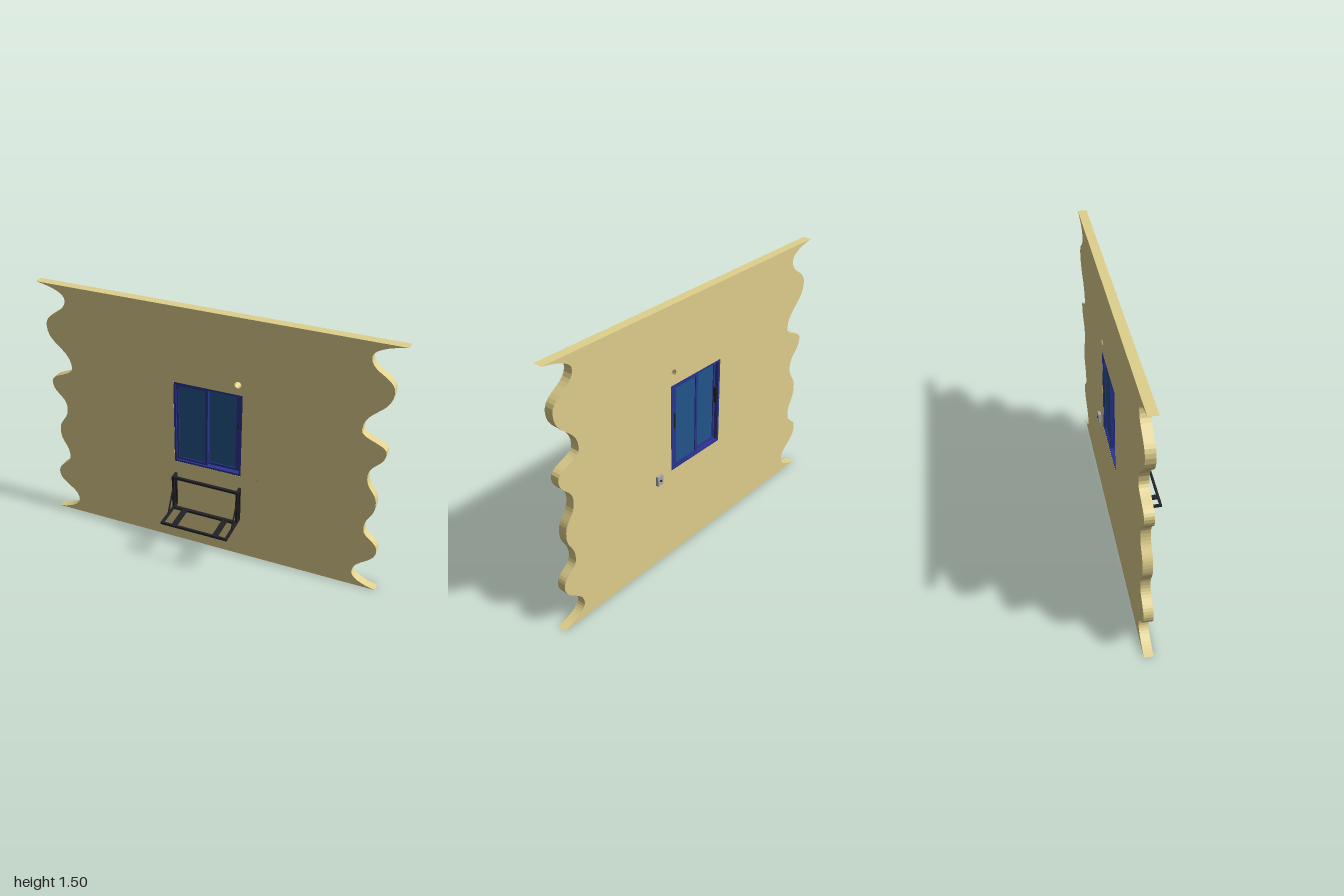
import * as THREE from 'three';

const mat = (color) => new THREE.MeshStandardMaterial({ color });
const wallMat = mat(0xe0d08c), blueMat = mat(0x2b3590), glassMat = mat(0x22558c);
const blackMat = mat(0x222226), greyMat = mat(0xaaaaaa);
const BACK = -0.12, FRONT = -0.07;

function add(parent, name, geometry, material) {
  const mesh = new THREE.Mesh(geometry, material);
  mesh.name = name;
  parent.add(mesh);
  return mesh;
}

// Box given by its lower and upper corners
function box(parent, name, material, x0, x1, y0, y1, z0, z1) {
  const mesh = add(parent, name, new THREE.BoxGeometry(x1 - x0, y1 - y0, z1 - z0), material);
  mesh.position.set((x0 + x1) / 2, (y0 + y1) / 2, (z0 + z1) / 2);
  return mesh;
}

// Four bars around a rectangular opening; sizes are left, right, bottom, top
function frame(parent, name, material, x0, x1, y0, y1, z0, z1, [l, r, b, t]) {
  box(parent, name + 'Left', material, x0, x0 + l, y0, y1, z0, z1);
  box(parent, name + 'Right', material, x1 - r, x1, y0, y1, z0, z1);
  box(parent, name + 'Bottom', material, x0 + l, x1 - r, y0, y0 + b, z0, z1);
  box(parent, name + 'Top', material, x0 + l, x1 - r, y1 - t, y1, z0, z1);
}

// Wall section with wavy broken ends, window opening and pipe hole
function makeWall(group) {
  const wave = [[1, 0], [0.857, 0.09], [0.978, 0.27], [0.893, 0.405], [0.942, 0.57], [0.88, 0.74],
    [0.962, 0.9], [0.825, 1.01], [0.962, 1.25], [0.833, 1.42], [1, 1.5]];
  const shape = new THREE.Shape();
  const follow = (pts) => {
    for (let i = 1; i < pts.length; i++) {
      const [x0, y0] = pts[i - 1], [x1, y1] = pts[i], ym = (y0 + y1) / 2;
      const first = i === 1, last = i === pts.length - 1;
      shape.bezierCurveTo(first ? x0 + (x1 - x0) * 0.5 : x0, first ? y0 + (y1 - y0) * 0.15 : ym,
        last ? x1 + (x0 - x1) * 0.5 : x1, last ? y1 + (y0 - y1) * 0.15 : ym, x1, y1);
    }
  };
  shape.moveTo(-1, 0);
  shape.lineTo(1, 0);
  follow(wave);
  shape.lineTo(-1, 1.5);
  follow(wave.map(([x, y]) => [-x, y]).reverse());

  const opening = new THREE.Path();
  opening.moveTo(-0.205, 0.55).lineTo(-0.205, 1.06).lineTo(0.19, 1.06).lineTo(0.19, 0.55).closePath();
  const hole = new THREE.Path().absarc(0.168, 1.128, 0.019, 0, Math.PI * 2, true);
  shape.holes.push(opening, hole);
  const geo = new THREE.ExtrudeGeometry(shape, { depth: FRONT - BACK, bevelEnabled: false, curveSegments: 10 });

  // Slant the pipe hole downwards towards the front
  const p = geo.attributes.position;
  for (let i = 0; i < p.count; i++) {
    if (p.getZ(i) > 0.01 && Math.hypot(p.getX(i) - 0.168, p.getY(i) - 1.128) < 0.025) {
      p.setXY(i, p.getX(i) - 0.006, p.getY(i) - 0.008);
    }
  }
  geo.computeVertexNormals();
  geo.translate(0, 0, BACK);
  add(group, 'wall', geo, wallMat);
}

// Two-pane sliding window
function makeWindow(group) {
  const win = new THREE.Group();
  win.name = 'window';
  group.add(win);
  frame(win, 'windowFrame', blueMat, -0.205, 0.19, 0.55, 1.06, BACK + 0.001, FRONT - 0.001,
    [0.012, 0.012, 0.012, 0.012]);
  const sash = (name, x0, x1, z, widths) => {
    frame(win, name + 'Sash', blueMat, x0, x1, 0.562, 1.048, z - 0.008, z + 0.008, widths);
    box(win, name + 'Glass', glassMat, x0 + widths[0], x1 - widths[1], 0.572, 1.038, z - 0.002, z + 0.002);
  };
  sash('left', -0.193, -0.01, -0.089, [0.012, 0.016, 0.014, 0.014]);
  sash('right', -0.026, 0.178, -0.107, [0.016, 0.03, 0.014, 0.014]);
  // Long pull handles inside, small latches outside
  for (const [x, z] of [[-0.187, -0.089], [0.158, -0.107]]) {
    box(win, 'pullHandle', blackMat, x - 0.005, x + 0.005, 0.8, 0.89, -0.118, z);
    box(win, 'latch', blackMat, x - 0.004, x + 0.004, 0.835, 0.865, z, z + 0.011);
  }
}

// Folding support rack under the window
function makeRack(group) {
  const rack = new THREE.Group();
  rack.name = 'rack';
  group.add(rack);
  const x0 = -0.205, x1 = 0.195, t = 0.014;
  for (const [a, b] of [[x0, x0 + t], [x1 - t, x1]]) {
    box(rack, 'wallPost', blackMat, a, b, 0.25, 0.472, FRONT, FRONT + 0.012);
    box(rack, 'outerPost', blackMat, a, b, 0.25, 0.472, -0.036, -0.022);
    box(rack, 'topLink', blackMat, a, b, 0.458, 0.472, FRONT, -0.022);
    box(rack, 'sideRail', blackMat, a, b, 0.25, 0.263, FRONT, 0.14);
    // Thin diagonal stay
    const from = new THREE.Vector3((a + b) / 2, 0.258, 0.052), to = new THREE.Vector3((a + b) / 2, 0.465, -0.062);
    const stay = add(rack, 'diagonalStay', new THREE.BoxGeometry(0.007, from.distanceTo(to), 0.007), blackMat);
    stay.position.copy(from).lerp(to, 0.5);
    stay.quaternion.setFromUnitVectors(new THREE.Vector3(0, 1, 0), to.clone().sub(from).normalize());
  }
  box(rack, 'topBar', blackMat, x0, x1, 0.458, 0.472, -0.036, -0.02);
  box(rack, 'rearBar', blackMat, x0, x1, 0.25, 0.263, -0.036, -0.016);
  box(rack, 'frontBar', blackMat, x0, x1, 0.25, 0.263, 0.127, 0.14);
  for (const x of [-0.126, 0.121]) {
    box(rack, 'crossBar', blackMat, x - 0.015, x + 0.015, 0.251, 0.262, -0.03, 0.135);
  }
}

// Wall socket on the back with its cable outlet on the front
function makeSocket(group) {
  const x = 0.29, y = 0.547;
  box(group, 'socketPlate', greyMat, x - 0.02, x + 0.02, y - 0.028, y + 0.028, -0.135, BACK);
  const pin = (name, r, z0, z1, material) => {
    const geo = new THREE.CylinderGeometry(r, r, z1 - z0, 16).rotateX(Math.PI / 2);
    add(group, name, geo, material).position.set(x, y, (z0 + z1) / 2);
  };
  pin('socketPort', 0.006, -0.14, -0.13, blackMat);
  pin('cableOutlet', 0.005, BACK, FRONT + 0.002, greyMat);
}

export function createModel() {
  const group = new THREE.Group();
  group.name = 'windowWall';
  makeWall(group);
  makeWindow(group);
  makeRack(group);
  makeSocket(group);
  return group;
}
